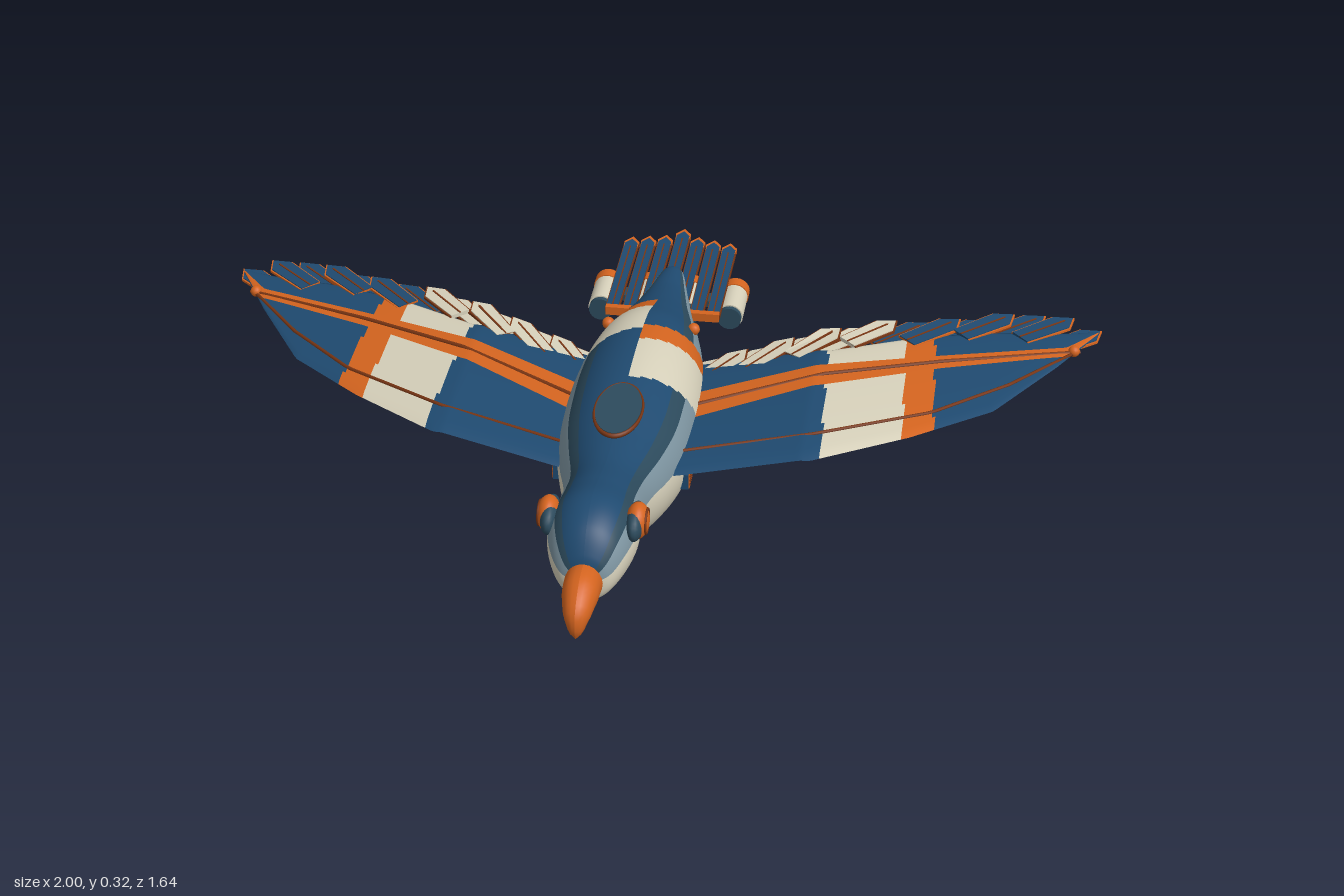
import * as THREE from 'three';

const mat = (name, color) => Object.assign(new THREE.MeshStandardMaterial({ color }), { name });
const blue = mat('deep blue', 0x1f4a70), grey = mat('grey blue', 0x7d94a0), cream = mat('cream', 0xd6d0ba);
const orange = mat('orange', 0xd4641f), rust = mat('rust', 0x7a3614), slate = mat('slate', 0x2c4a5c);
const palette = [blue, grey, cream, orange, slate];

// Linear lookup in a table of [position, value]
function look(table, x) {
  let i = 1;
  while (i < table.length - 1 && x > table[i][0]) i++;
  const [x0, y0] = table[i - 1], [x1, y1] = table[i];
  return y0 + (y1 - y0) * THREE.MathUtils.clamp((x - x0) / (x1 - x0), 0, 1);
}

// Smooth grid surface, one geometry group per palette colour
function loft(nu, nv, point, colour = () => 0) {
  const pos = [], buckets = palette.map(() => []);
  for (let i = 0; i <= nu; i++)
    for (let j = 0; j <= nv; j++) pos.push(...point(i / nu, j / nv));
  for (let i = 0; i < nu; i++) {
    for (let j = 0; j < nv; j++) {
      const a = i * (nv + 1) + j, b = a + nv + 1;
      const u = (i + 0.5) / nu, v = (j + 0.5) / nv;
      buckets[colour(point(u, v), v)].push(a, b, a + 1, b, b + 1, a + 1);
    }
  }
  const geo = new THREE.BufferGeometry();
  geo.setAttribute('position', new THREE.Float32BufferAttribute(pos, 3));
  geo.setIndex(buckets.flat());
  let start = 0;
  buckets.forEach((b, k) => {
    if (b.length) geo.addGroup(start, b.length, k);
    start += b.length;
  });
  geo.computeVertexNormals();
  return geo;
}

// Copy of a geometry reflected in x, with the face order put right
function mirrored(source) {
  const geo = source.clone().applyMatrix4(new THREE.Matrix4().makeScale(-1, 1, 1));
  const n = geo.index ? geo.index.count : geo.attributes.position.count;
  const idx = Array.from({ length: n }, (_, i) => (geo.index ? geo.index.getX(i) : i));
  for (let i = 0; i < n; i += 3) [idx[i + 1], idx[i + 2]] = [idx[i + 2], idx[i + 1]];
  geo.setIndex(idx);
  return geo;
}

// Pointed flat feather from (bx, bz) along (dx, dz), following height(x)
function feather(bx, bz, dx, dz, w, len, thick, height) {
  const s = new THREE.Shape();
  s.moveTo(-w * 0.45, 0); s.lineTo(w * 0.45, 0); s.lineTo(w / 2, len - w * 0.7);
  s.lineTo(0, len); s.lineTo(-w / 2, len - w * 0.7);
  const geo = new THREE.ExtrudeGeometry(s, { depth: thick, bevelEnabled: false });
  const p = geo.attributes.position;
  for (let i = 0; i < p.count; i++) {
    const a = p.getX(i), b = p.getY(i), x = bx - dz * a + dx * b;
    p.setXYZ(i, x, height(x) + p.getZ(i) - thick / 2, bz + dx * a + dz * b);
  }
  geo.computeVertexNormals();
  return geo;
}

// Fuselage stations: z, top, bottom, half width
const stations = [
  [-0.62, 0.165, 0.155, 0.004], [-0.6, 0.18, 0.14, 0.025], [-0.5, 0.192, 0.118, 0.05], [-0.4, 0.218, 0.088, 0.073],
  [-0.3, 0.252, 0.055, 0.1], [-0.2, 0.287, 0.027, 0.122], [-0.1, 0.302, 0.01, 0.138], [0, 0.308, 0.004, 0.145],
  [0.1, 0.306, 0.002, 0.145], [0.2, 0.297, 0.006, 0.139], [0.3, 0.286, 0.032, 0.118], [0.4, 0.285, 0.07, 0.093],
  [0.5, 0.304, 0.113, 0.088], [0.59, 0.32, 0.124, 0.092], [0.66, 0.298, 0.132, 0.077], [0.7, 0.25, 0.142, 0.05],
  [0.715, 0.2, 0.18, 0.01],
];
const spline = k => new THREE.SplineCurve(stations.map(s => new THREE.Vector2(s[0], s[k])));
const [topLine, bottomLine, sideLine] = [1, 2, 3].map(spline);
function bodyPoint(u, v) {
  const t = topLine.getPoint(u), b = bottomLine.getPoint(u).y, w = sideLine.getPoint(u).y;
  const a = v * Math.PI * 2;
  return [w * Math.sin(a), (t.y + b) / 2 + (t.y - b) / 2 * Math.cos(a), t.x];
}
function bodyColour([, , z], v) {
  const d = z - (-0.09 - 0.22 * v); // distance from the spiral band
  if (Math.abs(d) < 0.035) return 3;
  if (d > 0 && d < 0.2) return 2;
  const angle = Math.min(v, 1 - v) * 360;
  return angle < 40 ? 0 : angle < 55 ? 4 : angle < 80 ? 1 : 2;
}

// Wing outline and height tables over x
const lead = [[0.1, 0.285], [0.14, 0.28], [0.4, 0.235], [0.6, 0.09], [0.77, -0.06], [0.9, -0.28], [0.99, -0.45]];
const trail = [[0.1, -0.17], [0.4, -0.22], [0.6, -0.335], [0.75, -0.395], [0.9, -0.43], [0.99, -0.46]];
const spar = [[0.1, 0.04], [0.4, -0.1], [0.65, -0.225], [0.95, -0.36]];
const sparWidth = [[0.1, 0.055], [0.4, 0.045], [0.65, 0.028], [0.95, 0.018]];
const wingY = x => look([[0.1, 0.175], [0.38, 0.212], [1, 0.167]], x);
// Half thickness at x for chord fraction c, 1 being the leading edge
const wingHalf = (x, c) => look([[0.1, 0.017], [0.99, 0.004]], x) * 2 * Math.sqrt(Math.max(0, c * (1 - c)));
// Chord rows are spaced so that rows 0.3 and 0.6 run along the edges of the spar band
function wingPoint(u, v) {
  const x = 0.1 + 0.89 * u, l = look(lead, x), t = look(trail, x);
  const s = (look(spar, x) - t) / (l - t), h = look(sparWidth, x) / (l - t);
  const lo = THREE.MathUtils.clamp(s - h, 0.05, 0.6), hi = THREE.MathUtils.clamp(s + h, lo + 0.02, 0.95);
  const c = look([[0, 0], [0.3, lo], [0.6, hi], [1, 1]], Math.abs(1 - 2 * v));
  return [x, wingY(x) + wingHalf(x, c) * (v < 0.5 ? 1 : -1), t + (l - t) * c];
}
function wingColour([x, , z], v) {
  const row = Math.abs(1 - 2 * v);
  if (row > 0.3 && row < 0.6) return 3;
  const shifted = x - z * 0.05;
  return shifted < 0.41 ? 0 : shifted < 0.58 ? 2 : shifted < 0.645 ? 3 : 0;
}
// Thin raised rib along the upper wing, straight between its points
function rib(points, r) {
  const path = new THREE.CurvePath();
  const at = points.map(([x, z]) => {
    const l = look(lead, x), t = look(trail, x);
    return new THREE.Vector3(x, wingY(x) + wingHalf(x, (z - t) / (l - t)) + 0.001, z);
  });
  for (let i = 1; i < at.length; i++) path.add(new THREE.LineCurve3(at[i - 1], at[i]));
  return new THREE.TubeGeometry(path, 48, r, 6);
}

export function createModel() {
  const model = new THREE.Group();
  model.name = 'birdAircraft';
  const add = (name, geo, m) => {
    const mesh = new THREE.Mesh(geo, m);
    mesh.name = name;
    model.add(mesh);
  };
  const both = (name, geo, m) => {
    add(name + 'Left', geo, m);
    add(name + 'Right', mirrored(geo), m);
  };
  const box = (w, h, d, x, y, z) => new THREE.BoxGeometry(w, h, d).translate(x, y, z);

  // Body and hooked beak
  add('body', loft(240, 72, bodyPoint, bodyColour), palette);
  const beakPath = new THREE.CatmullRomCurve3([[0.685, 0.187], [0.74, 0.192], [0.79, 0.172], [0.812, 0.128]]
    .map(([z, y]) => new THREE.Vector3(0, y, z)));
  add('beak', loft(16, 20, (u, v) => {
    const c = beakPath.getPoint(u), t = beakPath.getTangent(u), a = v * Math.PI * 2;
    const r = look([[0, 0.043], [0.4, 0.041], [0.7, 0.03], [0.92, 0.015], [1, 0.001]], u);
    return [0.9 * r * Math.sin(a), c.y + r * Math.cos(a) * t.z, c.z - r * Math.cos(a) * t.y];
  }), [orange]);

  // Eyes with housing and ring
  both('eyeHousing', new THREE.SphereGeometry(1, 20, 14).scale(0.02, 0.034, 0.055).translate(0.086, 0.262, 0.585), slate);
  both('eye', new THREE.SphereGeometry(1, 24, 16).scale(0.024, 0.038, 0.038).translate(0.09, 0.264, 0.584), orange);
  both('eyeRing', new THREE.TorusGeometry(0.025, 0.003, 8, 24).rotateY(Math.PI / 2).translate(0.108, 0.264, 0.584), rust);

  // Oval hatch on the back
  const tilt = g => g.rotateX(0.1).translate(0, 0.306, 0.245);
  add('hatch', tilt(new THREE.CylinderGeometry(1, 1, 0.012, 32).scale(0.048, 1, 0.086)), slate);
  add('hatchRim', tilt(new THREE.TorusGeometry(1, 0.06, 6, 36).rotateX(Math.PI / 2).scale(0.05, 0.09, 0.088)), rust);

  // Side vents and rear lamps
  for (const [z, x] of [[0.19, 0.135], [0.03, 0.142], [-0.125, 0.131]]) {
    both('ventFrame', box(0.02, 0.036, 0.066, x, 0.125, z), blue);
    both('ventPanel', box(0.024, 0.038, 0.046, x, 0.125, z + 0.004), orange);
    for (const k of [-1, 0, 1]) both('ventSlat', box(0.026, 0.004, 0.044, x, 0.125 + k * 0.01, z + 0.004), rust);
  }
  both('lamp', new THREE.SphereGeometry(0.014, 12, 8).translate(0.096, 0.23, -0.237), orange);

  // Wings with spar, leading rib and tip joint
  both('wing', loft(120, 80, wingPoint, wingColour), palette);
  both('wingSpar', rib(spar, 0.005), rust);
  both('leadingRib', rib([[0.13, 0.205], [0.4, 0.145], [0.64, -0.01], [0.8, -0.17], [0.94, -0.355]], 0.004), rust);
  both('tipJoint', new THREE.SphereGeometry(0.013, 14, 10).translate(0.937, 0.176, -0.355), orange);

  // Wing feathers, fanned from root to tip
  const tips = [[0.17, -0.205], [0.22, -0.225], [0.27, -0.245], [0.32, -0.268], [0.37, -0.288], [0.42, -0.315],
    [0.48, -0.345], [0.54, -0.38], [0.61, -0.405], [0.68, -0.425], [0.74, -0.45], [0.8, -0.48], [0.87, -0.505],
    [0.935, -0.5], [0.998, -0.472]];
  tips.forEach(([x, z], i) => {
    const a = 0.6 + 0.2 * i / 14, dx = Math.sin(a), dz = -Math.cos(a), outer = x > 0.57;
    const w = outer ? 0.06 : 0.058, len = outer ? 0.17 : 0.16;
    const y = px => wingY(px) + (i % 2 ? 0.004 : -0.004);
    const bx = x - dx * len, bz = z - dz * len;
    both('featherRim', feather(bx, bz, dx, dz, w, len, 0.005, y), outer ? orange : rust);
    both('feather', feather(bx, bz, dx, dz, w - 0.008, len - 0.006, 0.009, y), outer ? blue : cream);
    both('featherQuill', feather(bx, bz, dx, dz, 0.004, len - 0.03, 0.012, y), rust);
  });

  // Tail fan with orange tips
  const tailY = () => 0.157;
  for (let i = -3; i <= 3; i++) {
    const x = i * 0.039, len = [0.4, 0.365, 0.355, 0.345][Math.abs(i)];
    add('tailFeatherRim', feather(x, -0.42, 0, -1, 0.035, len - 0.004, 0.01, tailY), rust);
    add('tailFeatherTip', feather(x, -0.37 - len, 0, -1, 0.036, 0.05, 0.012, tailY), orange);
    add('tailFeather', feather(x, -0.425, 0, -1, 0.03, len - 0.02, 0.016, tailY), blue);
    add('tailQuill', box(0.003, 0.018, len - 0.06, x, 0.157, -0.43 - (len - 0.06) / 2), rust);
  }
  add('tailRootBar', box(0.262, 0.02, 0.016, 0, 0.157, -0.423), orange);

  // Four thrusters under the tail
  add('thrusterBeam', box(0.3, 0.015, 0.04, 0, 0.145, -0.52), slate);
  const tube = (r, len, x, z) => new THREE.CylinderGeometry(r, r, len, 24).rotateX(Math.PI / 2).translate(x, 0.131, z);
  for (const x of [0.05, 0.15]) {
    both('thruster', tube(0.03, 0.1, x, -0.525), cream);
    both('thrusterRing', tube(0.032, 0.03, x, -0.585), orange);
    both('thrusterIntake', tube(0.027, 0.012, x, -0.469), slate);
    both('thrusterNozzle', tube(0.022, 0.004, x, -0.6), slate);
  }
  return model;
}
